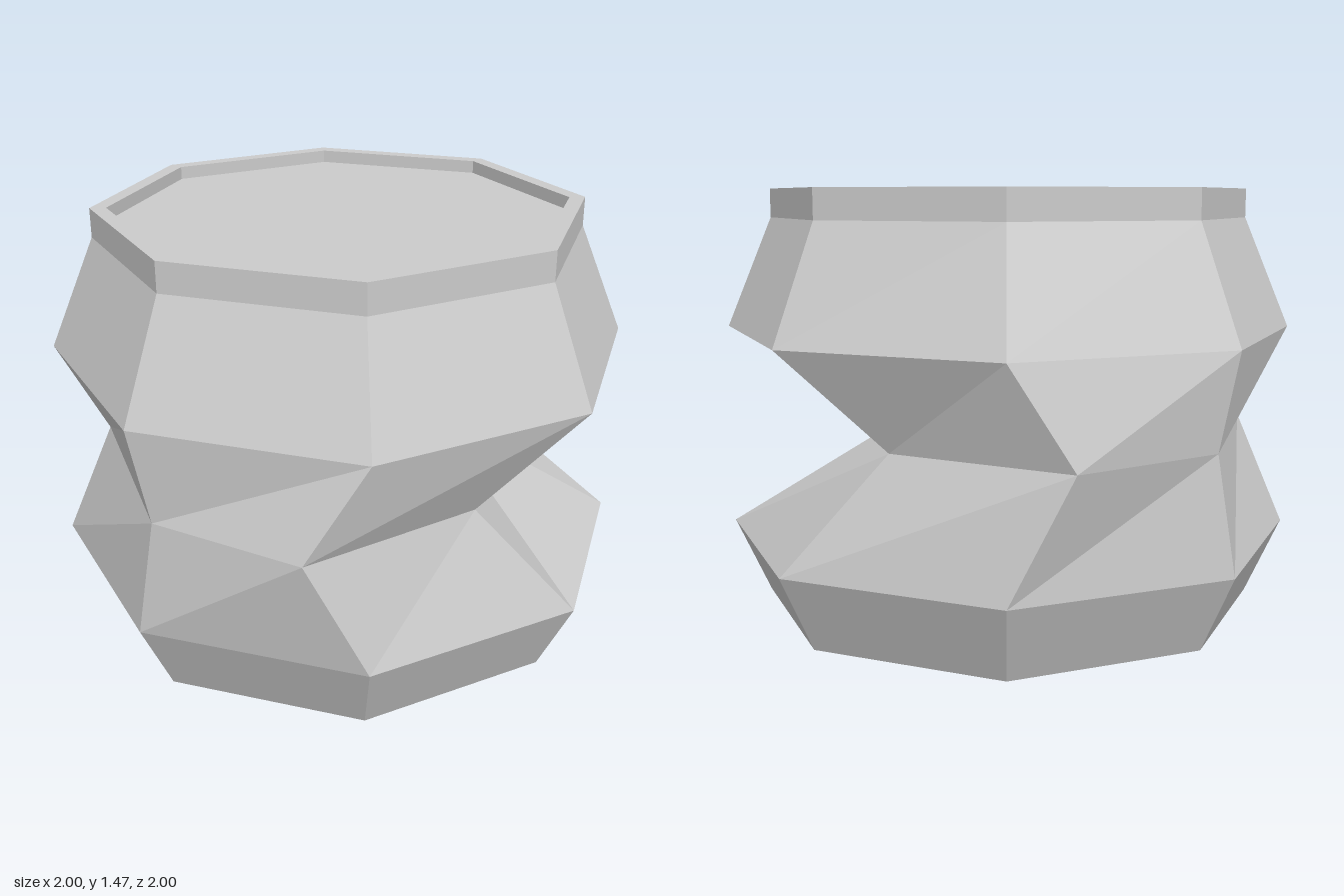
import * as THREE from 'three';

const SIDES = 8;
const material = new THREE.MeshStandardMaterial({ color: 0xcccccc, flatShading: true });

// Octagonal ring of points, starting at +x and turning towards +z
function ring(radius, y) {
  return Array.from({ length: SIDES }, (_, i) => {
    const a = (i / SIDES) * Math.PI * 2;
    return [radius * Math.cos(a), y, radius * Math.sin(a)];
  });
}

// Waist ring: full depth, but pushed in along x, deepest on the +x side
function waistRing(y) {
  const xs = [0.345, 0.36, -0.2, -0.645, -0.83, -0.645, -0.2, 0.36];
  return ring(1, y).map(([, , z], i) => [xs[i], i === 0 ? y + 0.005 : y, z]);
}

// Skin a stack of rings with faceted quads
function loft(name, rings) {
  const index = [];
  for (let r = 0; r < rings.length - 1; r++) {
    for (let i = 0; i < SIDES; i++) {
      const j = (i + 1) % SIDES;
      const a = r * SIDES + i, b = r * SIDES + j;
      const c = a + SIDES, d = b + SIDES;
      index.push(a, c, b, b, c, d);
    }
  }
  const indexed = new THREE.BufferGeometry();
  indexed.setAttribute('position', new THREE.Float32BufferAttribute(rings.flat(2), 3));
  indexed.setIndex(index);
  const geometry = indexed.toNonIndexed();
  geometry.computeVertexNormals();
  const mesh = new THREE.Mesh(geometry, material);
  mesh.name = name;
  return mesh;
}

// Flat octagonal cap facing up or down
function cap(name, radius, y, up) {
  const geometry = new THREE.CircleGeometry(radius, SIDES);
  geometry.rotateX(up ? -Math.PI / 2 : Math.PI / 2);
  const mesh = new THREE.Mesh(geometry, material);
  mesh.position.y = y;
  mesh.name = name;
  return mesh;
}

export function createModel() {
  const model = new THREE.Group();
  model.name = 'notchedBarrel';

  // Body with its pinched waist
  model.add(loft('body', [
    ring(0.875, 0),
    ring(1, 0.265),
    waistRing(0.662),
    ring(1, 0.98),
    ring(0.838, 1.365),
  ]));

  // Raised rim around the recessed top
  model.add(loft('rim', [
    ring(0.838, 1.365),
    ring(0.838, 1.465),
    ring(0.783, 1.465),
    ring(0.783, 1.42),
  ]));

  model.add(cap('lid', 0.783, 1.42, true));
  model.add(cap('base', 0.875, 0, false));
  return model;
}
